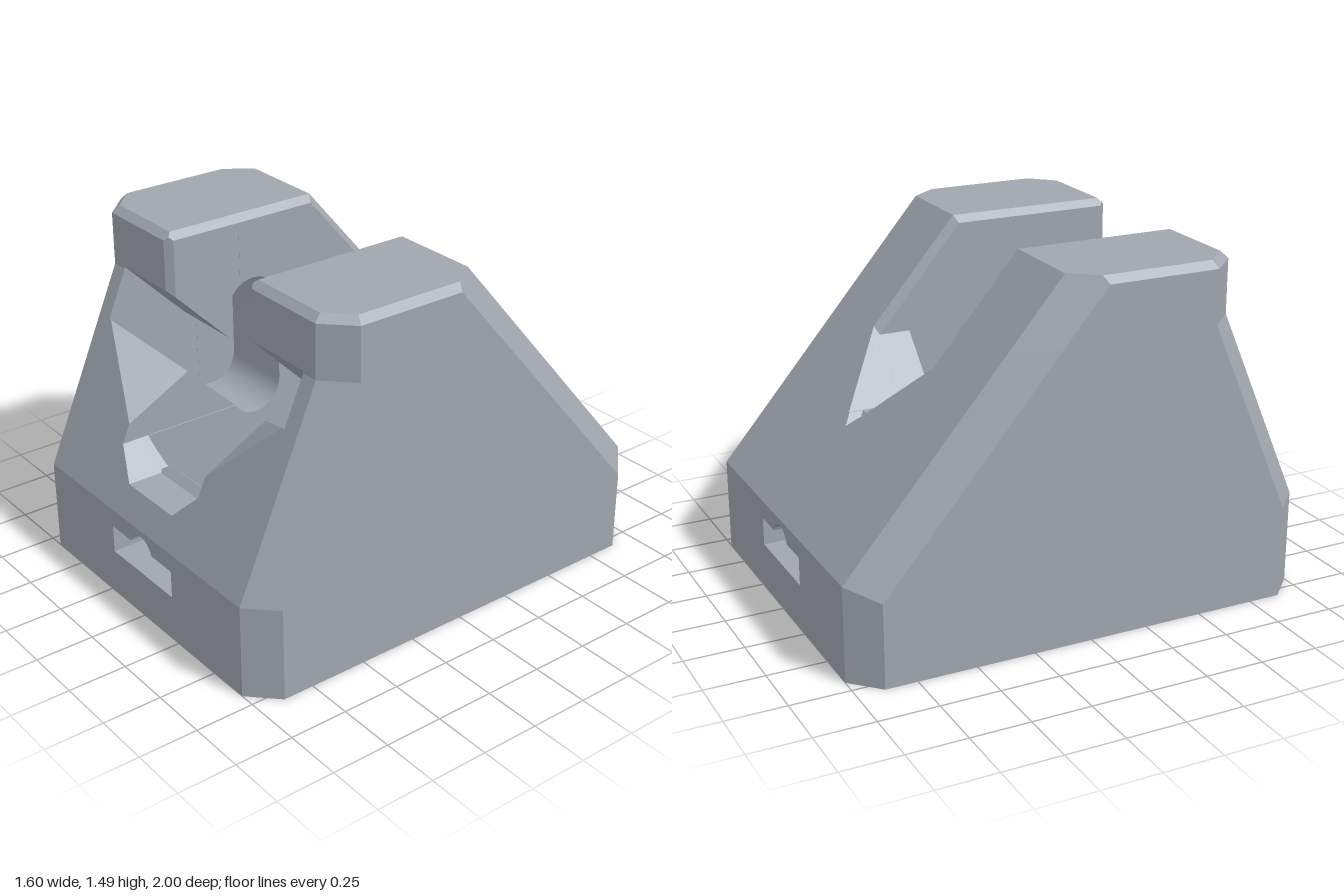
import * as THREE from 'three';
import { toCreasedNormals } from 'three/addons/utils/BufferGeometryUtils.js';

const EPS = 1e-6;

// A half-space a*x + b*y + c*z <= d; a convex solid is a list of these.
function half(a, b, c, d, hidden = false) {
  const n = new THREE.Vector3(a, b, c);
  const len = n.length();
  return { n: n.divideScalar(len), d: d / len, hidden };
}

// Convex prism along an axis; profile coordinates are (z,y), (x,z) or (x,y).
function prism(axis, profile, lo, hi) {
  const [u, v] = { x: ['z', 'y'], y: ['x', 'z'], z: ['x', 'y'] }[axis];
  const mid = [0, 1].map(k => profile.reduce((t, p) => t + p[k], 0) / profile.length);
  const make = o => half(o.x || 0, o.y || 0, o.z || 0, o.d);
  const planes = profile.map((p, i) => {
    const q = profile[(i + 1) % profile.length];
    let a = q[1] - p[1], b = p[0] - q[0];
    if (a * (mid[0] - p[0]) + b * (mid[1] - p[1]) > 0) { a = -a; b = -b; }
    return make({ [u]: a, [v]: b, d: a * p[0] + b * p[1] });
  });
  planes.push(make({ [axis]: 1, d: hi }), make({ [axis]: -1, d: -lo }));
  return planes;
}

function arc(cu, cv, r, from, to, steps) {
  return Array.from({ length: steps + 1 }, (_, i) => {
    const t = from + (to - from) * i / steps;
    return [cu + r * Math.cos(t), cv + r * Math.sin(t)];
  });
}
const circle = (cu, cv, r, steps) => arc(cu, cv, r, 0, 2 * Math.PI, steps).slice(0, -1);
// Upright slot outline with round ends
const stadium = (cu, low, high, r, steps) =>
  [...arc(cu, high, r, 0, Math.PI, steps), ...arc(cu, low, r, Math.PI, 2 * Math.PI, steps)];
const mirror = pts => [...pts, ...pts.slice().reverse().map(([x, y]) => [-x, y])];

// Split a polygon by a plane into its inner and outer part.
function split(poly, { n, d }) {
  const dist = poly.map(p => n.dot(p) - d);
  if (dist.every(t => t > -EPS)) return [null, poly];
  if (dist.every(t => t < EPS)) return [poly, null];
  const inner = [], outer = [];
  poly.forEach((p, i) => {
    const j = (i + 1) % poly.length;
    if (dist[i] <= EPS) inner.push(p);
    if (dist[i] >= -EPS) outer.push(p);
    if ((dist[i] > EPS && dist[j] < -EPS) || (dist[i] < -EPS && dist[j] > EPS)) {
      const m = p.clone().lerp(poly[j], dist[i] / (dist[i] - dist[j]));
      inner.push(m);
      outer.push(m);
    }
  });
  return [inner, outer];
}

const clip = (poly, planes) => planes.reduce((p, pl) => p && split(p, pl)[0], poly);

// Parts of a polygon outside a convex cutter.
function carve(poly, cutter) {
  if (!clip(poly, cutter)) return [poly];
  const kept = [];
  for (const pl of cutter) {
    const [inner, outer] = split(poly, pl);
    if (outer) kept.push(outer);
    if (!inner) break;
    poly = inner;
  }
  return kept;
}

function faces(planes) {
  return planes.filter(pl => !pl.hidden).map(pl => {
    const u = new THREE.Vector3(0, 1, 0);
    if (Math.abs(pl.n.y) > 0.9) u.set(1, 0, 0);
    u.cross(pl.n).normalize();
    const v = pl.n.clone().cross(u);
    const quad = [[-4, -4], [4, -4], [4, 4], [-4, 4]].map(([a, b]) =>
      pl.n.clone().multiplyScalar(pl.d).addScaledVector(u, a).addScaledVector(v, b));
    return clip(quad, planes.filter(o => o !== pl));
  }).filter(Boolean);
}

// Surface of a union of touching convex pieces with convex cutters removed.
function carvedGeometry(pieces, cutters) {
  const carveAll = (poly, list) => list.reduce((ps, c) => ps.flatMap(p => carve(p, c)), [poly]);
  const polys = pieces.flatMap(faces).flatMap(f => carveAll(f, cutters));
  for (const cutter of cutters) {
    const others = cutters.filter(c => c !== cutter);
    for (const face of faces(cutter)) for (const piece of pieces) {
      const part = clip(face, piece);
      if (part) polys.push(...carveAll(part.slice().reverse(), others));
    }
  }
  const pos = [];
  for (const p of polys) for (let i = 1; i + 1 < p.length; i++) {
    const t = new THREE.Triangle(p[0], p[i], p[i + 1]);
    if (t.getArea() > 1e-8) for (const q of [t.a, t.b, t.c]) pos.push(q.x, q.y, q.z);
  }
  const geo = new THREE.BufferGeometry();
  geo.setAttribute('position', new THREE.Float32BufferAttribute(pos, 3));
  return toCreasedNormals(geo, 0.2);
}

export function createModel() {
  const group = new THREE.Group();
  const material = new THREE.MeshStandardMaterial({ color: 0xa0a5af });
  const add = (name, geometry) => {
    const mesh = new THREE.Mesh(geometry, material);
    mesh.name = name;
    group.add(mesh);
  };
  const sides = [-1, 1];
  const cz = 0.24, cy = 0.705, R = 0.54; // wheel axis and well radius

  // Chamfered block: flanks and sloping back, shared by both halves
  const common = [half(0, 0, -1, 1), half(0, 0.848, -1, 1.339)];
  for (const s of sides) {
    common.push(half(s, 0, 0, 0.8), half(s, 0, -1, 1.685), half(s, 0.636, -0.75, 1.689));
  }
  // Lower half with sloping front
  const lower = [...common, half(0, -1, 0, 0), half(0, 1, 0, 1.23, true),
    half(0, 0, 1, 1), half(0, 0.434, 1, 1.1737)];
  for (const s of sides) lower.push(half(s, 0, 1, 1.685), half(s, 0.434, 1, 1.8587));
  // Upper half with upright front and bevelled top edges
  const upper = [...common, half(0, -1, 0, -1.23, true), half(0, 1, 0, 1.485),
    half(0, 0, 1, 0.64), half(0, 1, 1, 2.095)];
  for (const s of sides) {
    upper.push(half(s, 1, 0, 2.255), half(s, 0, 1, 1.325), half(s, 1.414, 1, 3.382));
  }

  const cutters = [
    // Central gap with V-shaped bottom, and its bevelled top rim
    prism('z', mirror([[0.045, 0.79], [0.27, 1.02], [0.27, 1.6]]), -1.3, 1.3),
    prism('z', mirror([[0.26, 1.445], [0.32, 1.505]]), -1.3, 1.3),
    // Bevel along the gap's edges on the sloping back
    [half(1, -0.647, 0.763, -0.721), half(-1, -0.647, 0.763, -0.721),
      half(0, -0.848, 1, -1.28), half(1, -1, 0, -0.75), half(-1, -1, 0, -0.75),
      half(0, 1, 0, 1.6), half(0, 0, -1, 1)],
    // Wheel well with round bottom and upright ends
    prism('x', stadium(cz, cy, 1.2, R, 32), -0.271, 0.271),
    // Front lip
    prism('z', mirror([[0.155, 0.525], [0.272, 0.642], [0.272, 1.4]]), 0.3, 1.3),
    // Upright axle slot
    prism('x', stadium(0.235, cy, 1.075, 0.125, 16), -0.609, 0.609),
    // Bevel on the inner front edges of the two posts
    [half(1, 0, -1, -0.34), half(-1, 0, -1, -0.34), half(0, -1, 0, -1.2),
      half(0, 1, 0, 2), half(0, 0, 1, 1.2)],
  ];
  for (const s of sides) {
    cutters.push(
      // Slanted axle channel from the front down to the axle slot
      [half(-s, 0, 0, -0.2), half(s, 0, 0, 0.61), half(0, 1, -1, 0.6),
        half(0, -1, 1, -0.3), half(0, 0, -1, -0.3), half(0, 0, 1, 1.3)],
      // Lead-in ramp of the channel
      [half(-s, 0, 0, -0.21), half(s, 0, 0, 0.608), half(0, 1, -1, 0.599),
        half(s * 0.0723, -0.099, -0.051, -0.0957), half(0, 0, -1, -0.45), half(0, 0, 1, 1.29)],
      // Nut slot in the front and back face, with its arched top and bolt hole
      prism('y', [[0.215, s * 1.1], [0.215, s * 0.74], [0.155, s * 0.63],
        [-0.155, s * 0.63], [-0.215, s * 0.74], [-0.215, s * 1.1]], 0.2, 0.32),
      prism('z', circle(0, 0.295, 0.08, 24), s > 0 ? 0.72 : -1.1, s > 0 ? 1.1 : -0.72),
      prism('y', circle(0, s * 0.75, 0.085, 32), -0.1, 0.25),
    );
  }
  add('holderBody', carvedGeometry([lower, upper], cutters));

  // Raised curved pad with bevelled edges on the back of the well
  const rows = 16;
  const padGeo = new THREE.PlaneGeometry(1, 1, 3, rows);
  const pos = padGeo.attributes.position;
  for (let i = 0; i < pos.count; i++) {
    const col = i % 4, row = Math.floor(i / 4);
    const base = col % 3 === 0 || row % rows === 0;
    const deg = base ? 97 - 82 * row / rows : 88 - 46 * (row - 1) / (rows - 2);
    const a = THREE.MathUtils.degToRad(deg);
    const r = base ? R + 0.003 : R - 0.06;
    pos.setXYZ(i, [-0.2, -0.14, 0.14, 0.2][col], cy - r * Math.cos(a), cz - r * Math.sin(a));
  }
  add('backPad', toCreasedNormals(padGeo, 0.3));

  // Flat-faced pad on the front of the well, running out into the curve
  const k = Math.SQRT1_2, mid = k * (cz - cy);
  const frontPad = [half(0, k, -k, -0.475 - mid), half(0, -k, k, 0.56 + mid),
    half(0, k, k, 0.265 + k * (cz + cy)), half(0, -k, -k, 0.265 - k * (cz + cy))];
  for (const s of sides) frontPad.push(half(s, k, -k, 0.2 - R - mid));
  add('frontPad', carvedGeometry([frontPad], []));

  return group;
}
